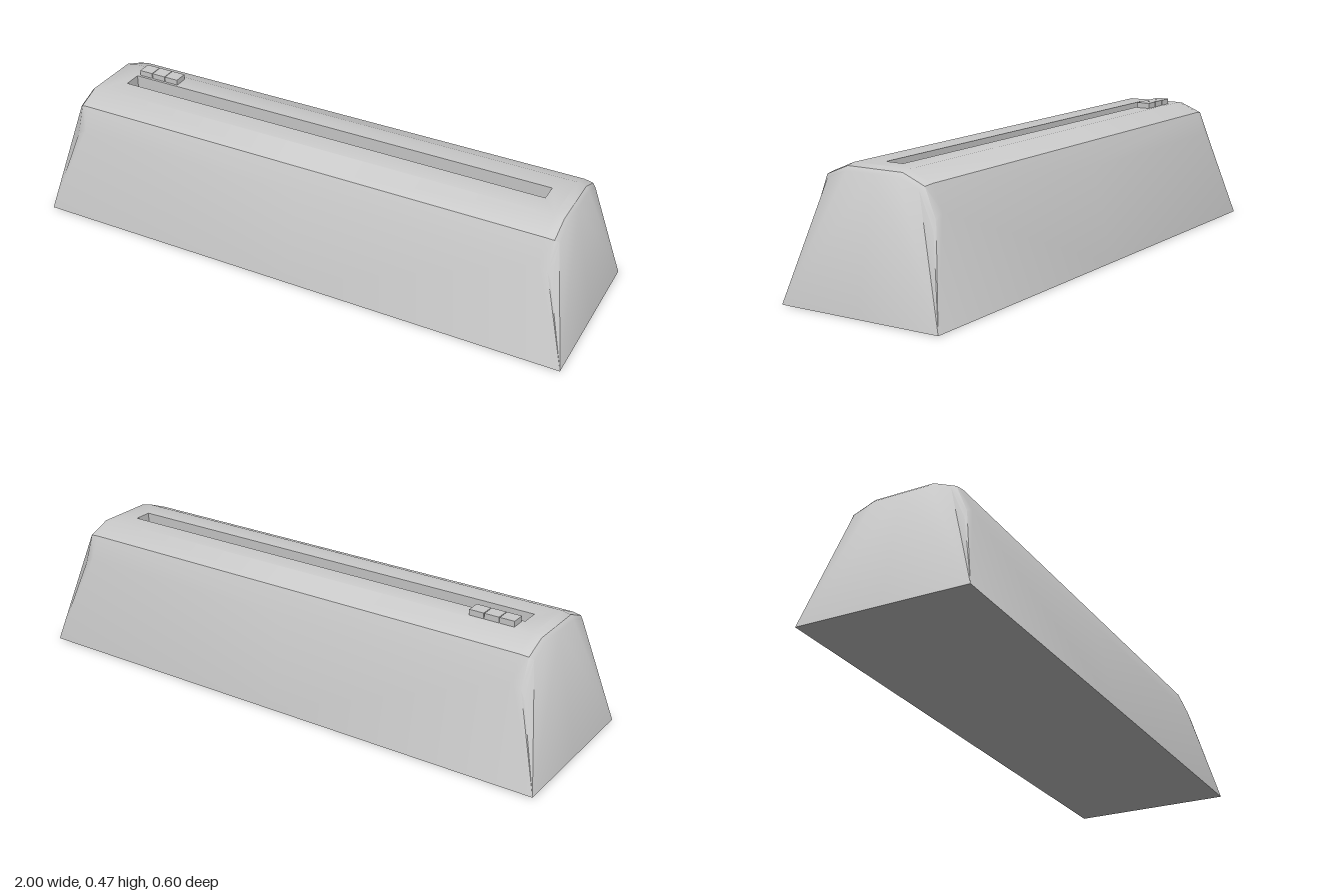
import * as THREE from 'three';
import { mergeGeometries, toCreasedNormals } from 'three/addons/utils/BufferGeometryUtils.js';

const material = new THREE.MeshStandardMaterial({ color: 0xcccccc });
const SLOT = { x: 0.81, z0: -0.035, z1: 0.03, depth: 0.1 };
const TOP = { x: 0.87, y: 0.447, z: 0.107 };

// Cross-sections of the upper shell from the middle to the end: x, then [y, z] up to the centre line
const full = [[0.33, 0.225], [0.412, 0.19], [TOP.y, TOP.z], [TOP.y, 0]];
const SECTIONS = [
  [0, full],
  [TOP.x, full],
  [0.902, [[0.31, 0.225], [0.408, 0.186], [0.441, 0.105], [0.441, 0]]],
  [0.915, [[0.28, 0.225], [0.398, 0.175], [0.428, 0.1], [0.428, 0]]],
].map(([x, pts]) => pts.map(([y, z]) => [x, y, z]));

// One quarter of the tapered housing, mirrored four times
function shellGeometry() {
  const tris = [];
  const tri = (a, b, c) => tris.push([a, b, c]);
  const quad = (a, b, c, d) => { tri(a, b, c); tri(a, c, d); };
  const corner = [1, 0, 0.3], front = [0, 0, 0.3], side = [1, 0, 0], centre = [0, 0, 0];
  const end = SECTIONS[3];

  // front wall, underside and end wall
  quad(front, corner, SECTIONS[1][0], SECTIONS[0][0]);
  quad(centre, side, corner, front);
  tri(corner, side, end[3]);
  for (let j = 0; j < 3; j++) tri(corner, end[j + 1], end[j]);

  // sloping shoulders and the bevel round each end (slotted top is added separately)
  for (let i = 0; i < 3; i++) {
    const s = SECTIONS[i], t = SECTIONS[i + 1];
    if (i > 0) tri(corner, t[0], s[0]);
    for (let j = 0; j < (i === 0 ? 2 : 3); j++) quad(s[j], t[j], t[j + 1], s[j + 1]);
  }

  const pos = [];
  for (const sx of [1, -1]) for (const sz of [1, -1]) {
    for (const [a, b, c] of tris) {
      for (const p of sx * sz > 0 ? [a, b, c] : [a, c, b]) pos.push(p[0] * sx, p[1], p[2] * sz);
    }
  }
  const g = new THREE.BufferGeometry();
  g.setAttribute('position', new THREE.Float32BufferAttribute(pos, 3));
  g.computeVertexNormals();
  return g;
}

function rectangle(Type, x, y0, y1) {
  return new Type([[-x, y0], [x, y0], [x, y1], [-x, y1]].map(p => new THREE.Vector2(...p)));
}

// Flat top with the long opening cut out
function topGeometry() {
  const shape = rectangle(THREE.Shape, TOP.x, -TOP.z, TOP.z);
  shape.holes.push(rectangle(THREE.Path, SLOT.x, -SLOT.z1, -SLOT.z0));
  const g = new THREE.ShapeGeometry(shape).rotateX(-Math.PI / 2).translate(0, TOP.y, 0).toNonIndexed();
  g.deleteAttribute('uv');
  return g;
}

// Inside of the slot: a box without its lid, turned inside out
function slotGeometry() {
  const g = new THREE.BoxGeometry(SLOT.x * 2, SLOT.depth, SLOT.z1 - SLOT.z0);
  const index = Array.from(g.index.array).filter((_, i) => i < 12 || i >= 18);
  g.setIndex(index.reverse());
  g.translate(0, TOP.y - SLOT.depth / 2, (SLOT.z0 + SLOT.z1) / 2);
  g.computeVertexNormals();
  return g;
}

export function createModel() {
  const model = new THREE.Group();
  model.name = 'slottedHousing';
  const add = (name, geometry, parent = model) => {
    const mesh = new THREE.Mesh(geometry, material);
    mesh.name = name;
    parent.add(mesh);
    return mesh;
  };

  add('housing', toCreasedNormals(mergeGeometries([shellGeometry(), topGeometry()]), 0.6));
  add('slot', slotGeometry());

  // Row of three small buttons beside the slot
  const buttons = new THREE.Group();
  buttons.name = 'buttons';
  model.add(buttons);
  for (let i = 0; i < 3; i++) {
    add('button', new THREE.BoxGeometry(0.052, 0.03, 0.05), buttons)
      .position.set(-0.776 + i * 0.0545, 0.452, -0.069);
  }
  return model;
}
